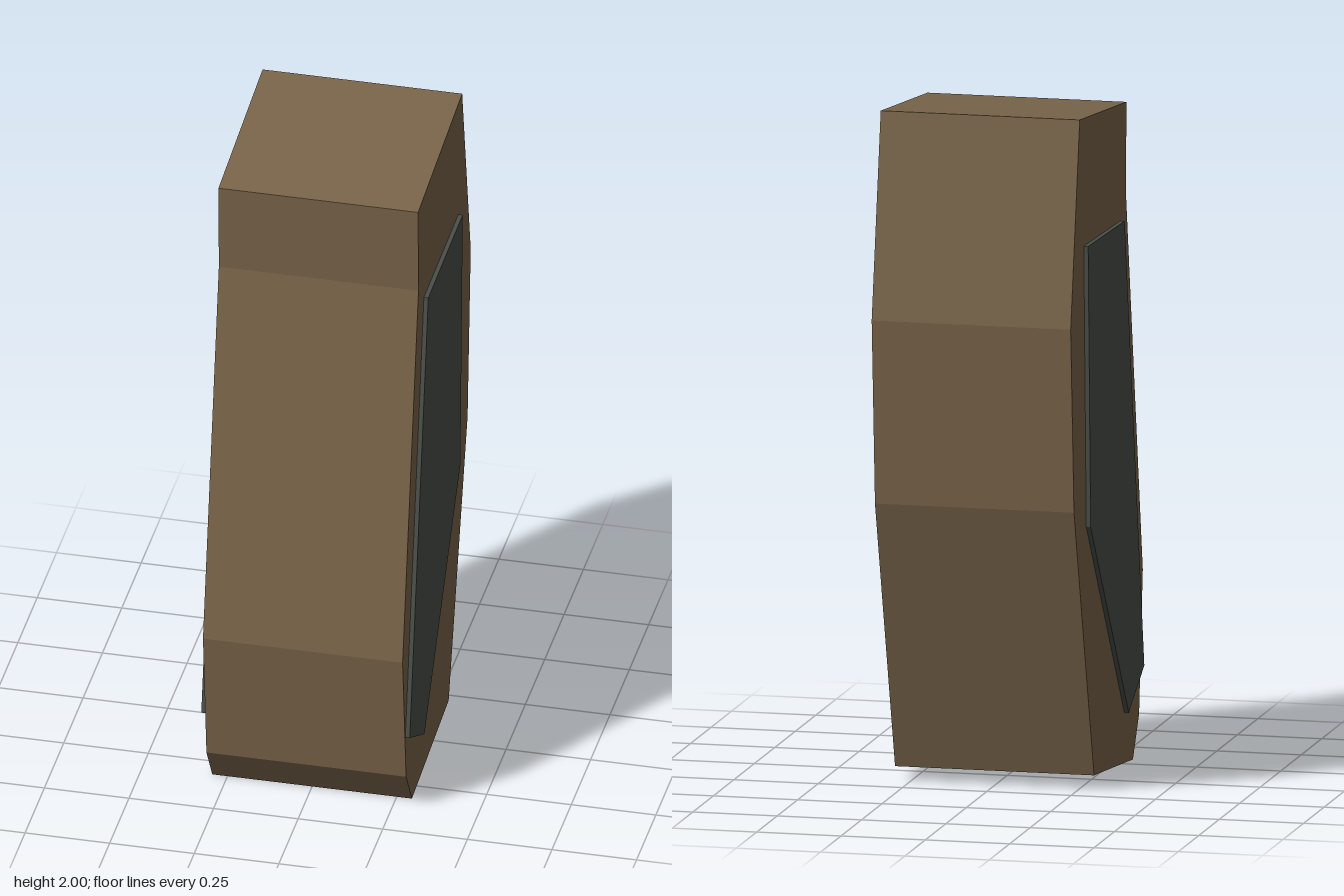
import * as THREE from 'three';

// Side outlines as [z, y]
const BODY = [[0.24, 1.945], [-0.33, 2], [-0.44, 1.405], [-0.4, 0.86], [-0.155, 0.043],
  [0.32, 0], [0.395, 0.12], [0.44, 0.535], [0.235, 1.675]];
const PANEL = [[0.165, 1.61], [-0.28, 1.62], [-0.25, 0.79], [0.215, 0.157], [0.405, 0.26]];

// Extrudes a side outline across x, centred on x = 0
function slab(outline, width) {
  const shape = new THREE.Shape(outline.map(([z, y]) => new THREE.Vector2(z, y)));
  const geometry = new THREE.ExtrudeGeometry(shape, { depth: width, bevelEnabled: false });
  return geometry.translate(0, 0, -width / 2).rotateY(-Math.PI / 2);
}

export function createModel() {
  const brown = new THREE.MeshStandardMaterial({ color: 0x7a654a });
  brown.name = 'brown';
  const darkGrey = new THREE.MeshStandardMaterial({ color: 0x4a4f4a });
  darkGrey.name = 'darkGrey';
  const group = new THREE.Group();

  // Curved grip body
  const body = new THREE.Mesh(slab(BODY, 0.59), brown);
  body.name = 'gripBody';
  group.add(body);

  // Raised panel on each side, sunk slightly into the body
  for (const [name, side] of [['leftPanel', 1], ['rightPanel', -1]]) {
    const panel = new THREE.Mesh(slab(PANEL, 0.02), darkGrey);
    panel.position.x = side * 0.298;
    panel.name = name;
    group.add(panel);
  }
  return group;
}
